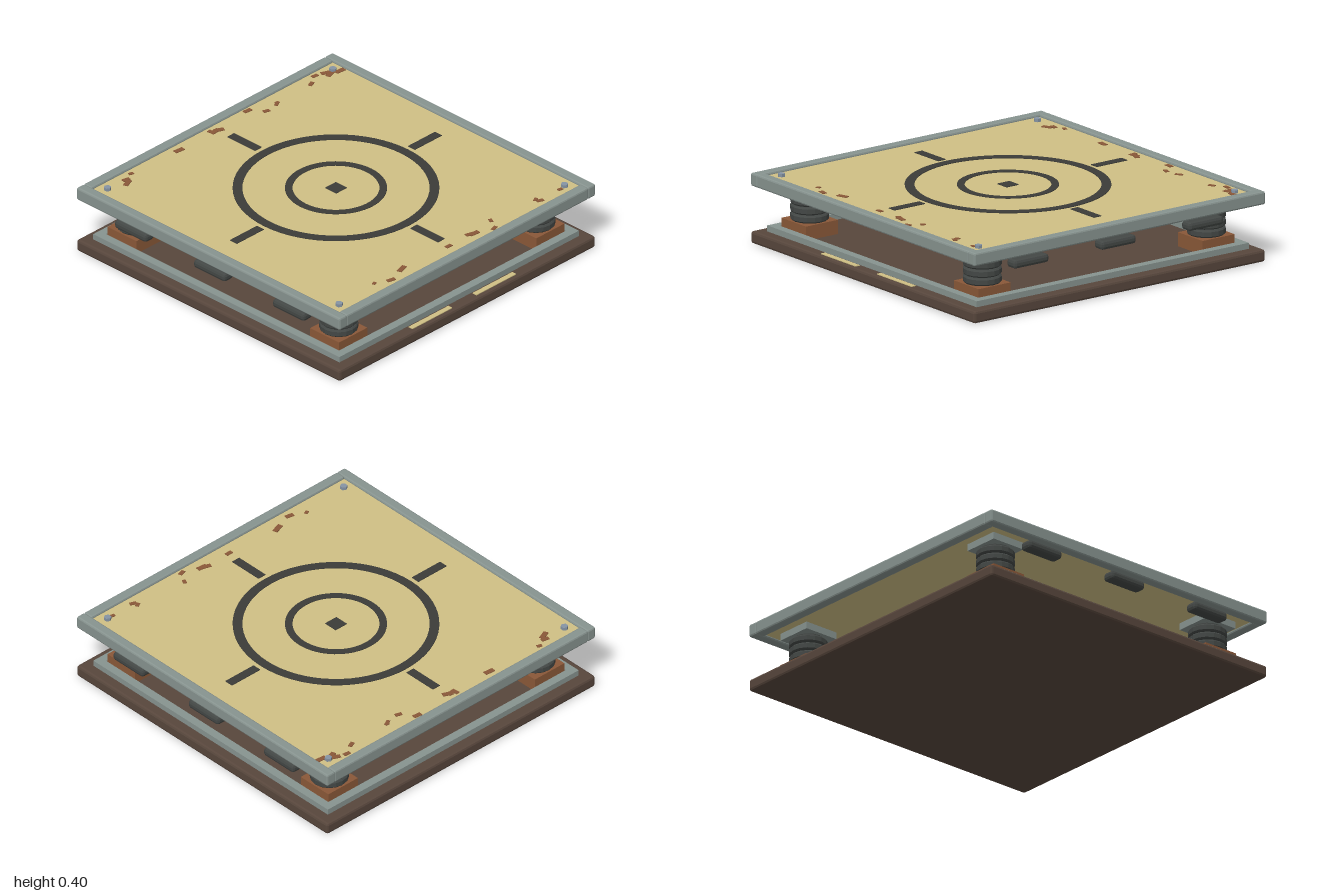
import * as THREE from 'three';
import { RoundedBoxGeometry } from 'three/addons/geometries/RoundedBoxGeometry.js';

const mat = (color) => new THREE.MeshStandardMaterial({ color, flatShading: true });
const brown = mat(0x57463c), steel = mat(0x87938f), sand = mat(0xcfbf84);
const dark = mat(0x3c3c38), rubber = mat(0x434745), rust = mat(0x8a5838), bolt = mat(0x8593a3);

export function createModel() {
  const root = new THREE.Group();
  root.name = 'springPlatform';

  const add = (name, geo, material, x, y, z, parent = root) => {
    const m = new THREE.Mesh(geo, material);
    m.name = name;
    m.position.set(x, y, z);
    parent.add(m);
    return m;
  };
  const box = (w, h, d) => new THREE.BoxGeometry(w, h, d);
  // One segment gives a plain chamfer on every edge
  const chamfer = (w, h, d, r) => new RoundedBoxGeometry(w, h, d, 1, r);

  // Base slab with a raised border and two front warning stripes
  add('baseSlab', chamfer(2, 0.07, 2, 0.014), brown, 0, 0.035, 0);
  for (const s of [-1, 1]) {
    add('baseRailZ', box(1.87, 0.035, 0.05), steel, 0, 0.0865, s * 0.91);
    add('baseRailX', box(0.05, 0.035, 1.77), steel, s * 0.91, 0.0865, 0);
    add('baseStripe', box(0.31, 0.008, 0.03), sand, s * 0.25, 0.07, 0.96);
  }

  // Corner spring mounts: rust pad, ribbed spring, top plate
  for (const x of [-0.77, 0.77]) for (const z of [-0.77, 0.77]) {
    const mount = new THREE.Group();
    mount.name = 'springMount';
    mount.position.set(x, 0, z);
    root.add(mount);
    add('mountPad', box(0.22, 0.08, 0.22), rust, 0, 0.11, 0, mount);
    add('springCore', new THREE.CylinderGeometry(0.085, 0.085, 0.16, 16), rubber, 0, 0.225, 0, mount);
    for (let i = 0; i < 3; i++) {
      const y = 0.172 + i * 0.047;
      const rib = [[0.08, -0.022], [0.1, -0.021], [0.107, -0.013], [0.107, 0.013], [0.1, 0.021], [0.08, 0.022]];
      add('springCoil', new THREE.LatheGeometry(rib.map((p) => new THREE.Vector2(...p)), 16), rubber, 0, y, 0, mount);
    }
    add('mountPlate', box(0.215, 0.045, 0.215), steel, 0, 0.3225, 0, mount);
  }

  // Top panel inside a chamfered frame
  add('topPanel', box(1.9, 0.045, 1.9), sand, 0, 0.3625, 0);
  for (const s of [-1, 1]) {
    add('frameSide', chamfer(0.06, 0.075, 2, 0.01), steel, s * 0.97, 0.3625, 0);
    add('frameEnd', chamfer(1.89, 0.075, 0.06, 0.01), steel, 0, 0.3625, s * 0.97);
    // Bumpers under both side rails
    for (const z of [-0.6, 0, 0.6])
      add('bumper', chamfer(0.075, 0.05, 0.24, 0.017), rubber, s * 0.957, 0.283, z);
    for (const z of [-0.88, 0.88])
      add('cornerBolt', new THREE.CylinderGeometry(0.021, 0.021, 0.02, 6), bolt, s * 0.88, 0.393, z);
  }

  // Target markings
  const top = 0.385;
  const ring = (name, outer, inner) => {
    const shape = new THREE.Shape().absarc(0, 0, outer, 0, Math.PI * 2);
    shape.holes.push(new THREE.Path().absarc(0, 0, inner, 0, Math.PI * 2, true));
    const geo = new THREE.ExtrudeGeometry(shape, { depth: 0.004, bevelEnabled: false, curveSegments: 32 });
    add(name, geo.rotateX(-Math.PI / 2), dark, 0, top, 0);
  };
  ring('outerRing', 0.563, 0.51);
  ring('innerRing', 0.278, 0.237);
  add('centreMark', box(0.083, 0.008, 0.083), dark, 0, top, 0);
  for (let i = 0; i < 4; i++) {
    const a = i * Math.PI / 2;
    const tick = add('tickMark', box(0.21, 0.008, 0.052), dark, Math.cos(a) * 0.695, top, Math.sin(a) * 0.695);
    tick.rotation.y = -a;
  }

  // Rust chips along the front and back edges: x, z, length, turn
  const backChips = [
    [-0.755, -0.85, 0.06, 0.4], [-0.735, -0.88, 0.045, -0.2], [-0.67, -0.905, 0.03, -0.3],
    [-0.31, -0.89, 0.06, -0.1], [-0.05, -0.91, 0.025, 0.1], [-0.03, -0.89, 0.06, 0.1],
    [-0.005, -0.885, 0.06, -0.4], [0.25, -0.915, 0.05, -0.1], [0.32, -0.84, 0.04, -0.3],
    [0.41, -0.85, 0.03, 0.5], [0.425, -0.86, 0.025, 0], [0.695, -0.865, 0.04, 0.4],
    [0.77, -0.91, 0.04, -0.1], [0.835, -0.89, 0.055, -0.4], [0.845, -0.865, 0.06, 0.3], [0.905, -0.85, 0.06, -0.1],
  ];
  const frontChips = [
    [-0.58, 0.855, 0.025, 0.4], [-0.49, 0.895, 0.05, -0.2], [-0.365, 0.855, 0.065, 0.3],
    [-0.015, 0.87, 0.042, 0], [0.155, 0.865, 0.05, -0.3], [0.18, 0.875, 0.06, -0.1],
    [0.295, 0.915, 0.04, 0.3], [0.34, 0.845, 0.03, 1.1], [0.67, 0.865, 0.03, 0.5],
    [0.68, 0.89, 0.04, -0.4], [0.84, 0.885, 0.03, -0.1],
  ];
  for (const [x, z, len, turn] of [...backChips, ...frontChips])
    add('rustChip', box(len, 0.008, Math.min(0.03, 0.012 + len * 0.28)), rust, x, top, z).rotation.y = turn;

  return root;
}
